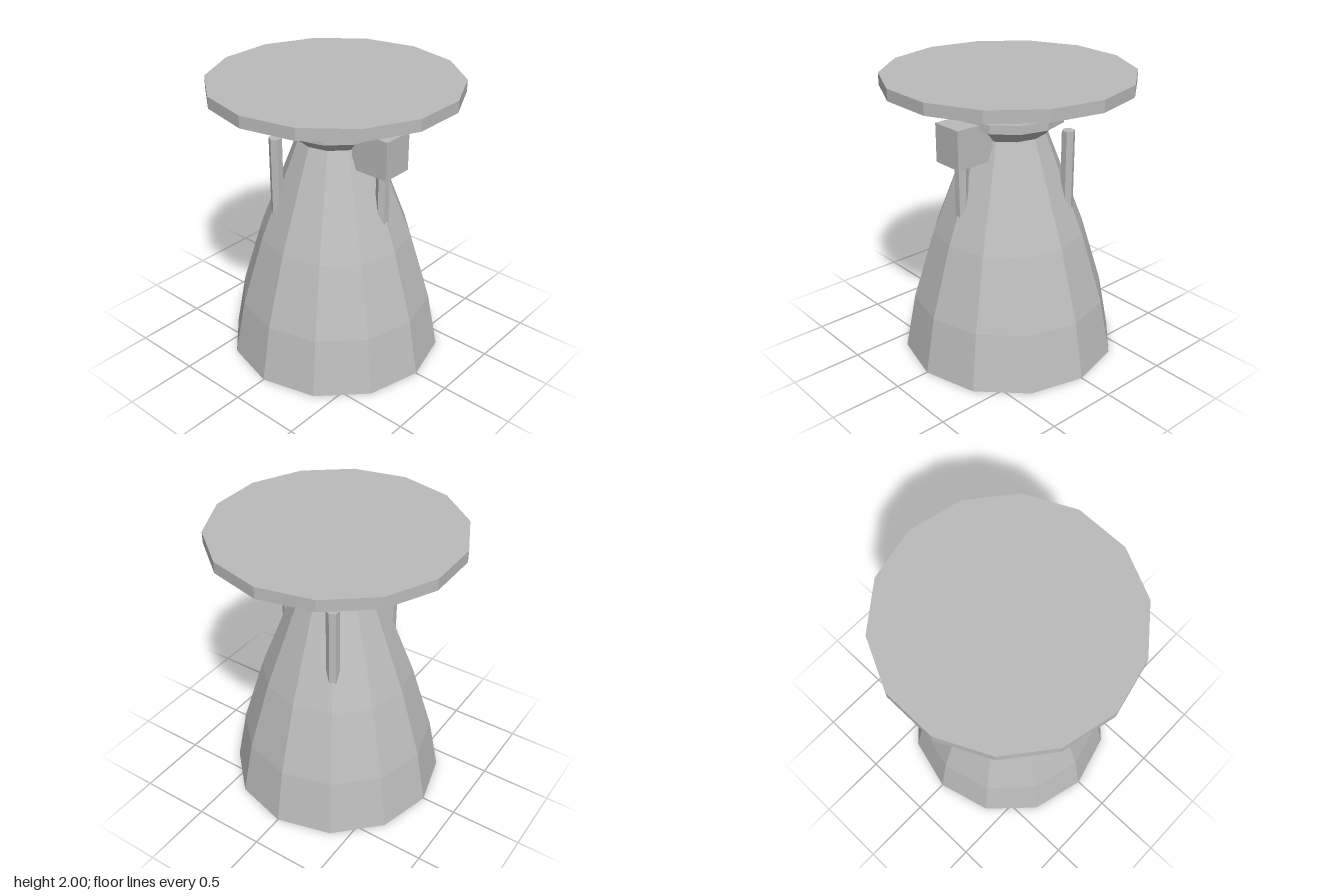
import * as THREE from 'three';

export function createModel() {
  const group = new THREE.Group();
  const metal = new THREE.MeshStandardMaterial({ color: 0xbbbbbb, flatShading: true });
  metal.name = 'grey metal';
  // The bell is an open, thin shell
  const shell = new THREE.MeshStandardMaterial({ color: 0xbbbbbb, flatShading: true, side: THREE.DoubleSide });
  shell.name = 'grey metal shell';

  function add(name, geometry, x, y, z, material = metal) {
    const mesh = new THREE.Mesh(geometry, material);
    mesh.name = name;
    mesh.position.set(x, y, z);
    group.add(mesh);
  }

  // Upright faceted drum or cone between two heights
  function drum(name, rBottom, rTop, y0, y1, sides, x = 0, z = 0) {
    add(name, new THREE.CylinderGeometry(rTop, rBottom, y1 - y0, sides), x, (y0 + y1) / 2, z);
  }

  // Nozzle bell, open at the bottom
  const profile = [[0.755, 0], [0.68, 0.4], [0.528, 0.9], [0.258, 1.6]]
    .map(([r, y]) => new THREE.Vector2(r, y));
  add('nozzleBell', new THREE.LatheGeometry(profile, 12), 0, 0, 0, shell);

  // Throat, collar and combustion chamber
  drum('throatCone', 0.258, 0.335, 1.6, 1.69, 12);
  drum('collar', 0.377, 0.377, 1.69, 1.75, 12);
  drum('chamber', 0.34, 0.34, 1.75, 1.92, 12);

  // Mounting plate
  drum('mountingPlate', 0.845, 0.845, 1.92, 2, 14);

  // Pump box on the left side
  add('pumpBox', new THREE.BoxGeometry(0.283, 0.265, 0.226), 0.3815, 1.6025, 0);

  // Three rods around the bell
  for (let i = 0; i < 3; i++) {
    const a = (i * Math.PI * 2) / 3;
    drum('rod' + (i + 1), 0.045, 0.045, 1.08, 1.64, 6, 0.41 * Math.cos(a), 0.41 * Math.sin(a));
  }
  return group;
}
